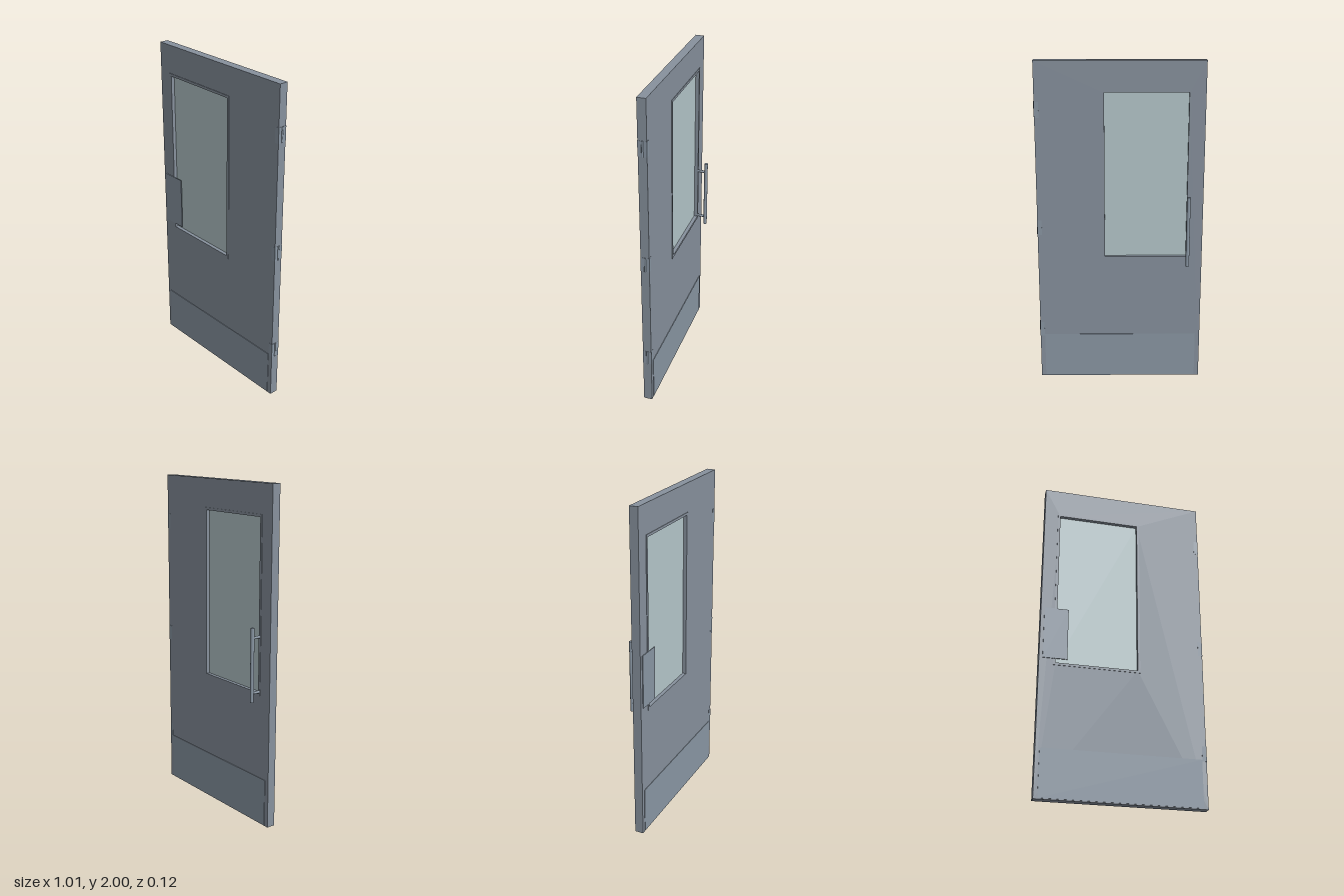
import * as THREE from 'three';

const mat = (name, color) => {
  const m = new THREE.MeshStandardMaterial({ color });
  m.name = name;
  return m;
};

export function createModel() {
  const door = new THREE.Group();
  door.name = 'door';
  const paint = mat('grey paint', 0x87919d);
  const steel = mat('brushed steel', 0x8a97a4);
  const glass = mat('pale glass', 0xb5c7cb);

  const add = (name, geometry, material, parent = door) => {
    const mesh = new THREE.Mesh(geometry, material);
    mesh.name = name;
    parent.add(mesh);
    return mesh;
  };
  // Box given by its limits on each axis
  const box = (name, [x0, x1], [y0, y1], [z0, z1], material, parent) => {
    const mesh = add(name, new THREE.BoxGeometry(x1 - x0, y1 - y0, z1 - z0), material, parent);
    mesh.position.set((x0 + x1) / 2, (y0 + y1) / 2, (z0 + z1) / 2);
    return mesh;
  };
  // Rectangular plate with a rectangular hole, extruded from z0 to z1
  const ring = (name, [x0, x1, y0, y1], [a0, a1, b0, b1], z0, z1, material) => {
    const rect = (C, l, r, b, t) => {
      const p = new C();
      p.moveTo(l, b).lineTo(r, b).lineTo(r, t).lineTo(l, t).closePath();
      return p;
    };
    const shape = rect(THREE.Shape, x0, x1, y0, y1);
    shape.holes.push(rect(THREE.Path, a0, a1, b0, b1));
    const g = new THREE.ExtrudeGeometry(shape, { depth: z1 - z0, bevelEnabled: false });
    add(name, g, material).position.z = z0;
  };

  const back = 0.003, front = 0.055;
  const opening = [-0.405, 0.09, 0.81, 1.815];
  const trim = [-0.42, 0.105, 0.795, 1.83];

  // Slab, window trim on both faces, and the recessed pane
  ring('slab', [-0.503, 0.498, 0, 2], opening, back, front, paint);
  ring('frontWindowTrim', trim, opening, front, front + 0.003, paint);
  ring('backWindowTrim', trim, opening, back - 0.003, back, paint);
  box('windowPane', [-0.405, 0.09], [0.81, 1.815], [0.022, 0.036], glass);

  // Kick plates and push plate
  box('frontKickPlate', [-0.478, 0.47], [0.005, 0.29], [front, front + 0.003], steel);
  box('backKickPlate', [-0.475, 0.47], [0.005, 0.29], [back - 0.003, back], steel);
  box('pushPlate', [-0.482, -0.336], [0.835, 1.16], [front, front + 0.005], steel);

  // Three hinges on the left edge
  for (const y of [0.327, 0.995, 1.715]) {
    const hinge = new THREE.Group();
    hinge.name = 'hinge';
    door.add(hinge);
    box('hingeLeaf', [0.472, 0.499], [y - 0.046, y + 0.046], [back - 0.001, front + 0.001], steel, hinge);
    const barrel = add('hingeBarrel', new THREE.CylinderGeometry(0.006, 0.006, 0.092, 16), steel, hinge);
    barrel.position.set(0.497, y, 0.029);
  }

  // Pull handle on the back face
  const handle = new THREE.Group();
  handle.name = 'pullHandle';
  door.add(handle);
  const bar = add('handleBar', new THREE.CylinderGeometry(0.011, 0.011, 0.437, 24), steel, handle);
  bar.position.set(-0.411, 0.982, -0.051);
  for (const y of [0.817, 1.142]) {
    const post = add('handlePost', new THREE.CylinderGeometry(0.008, 0.008, 0.056, 16), steel, handle);
    post.rotation.x = Math.PI / 2;
    post.position.set(-0.411, y, -0.023);
  }
  return door;
}
